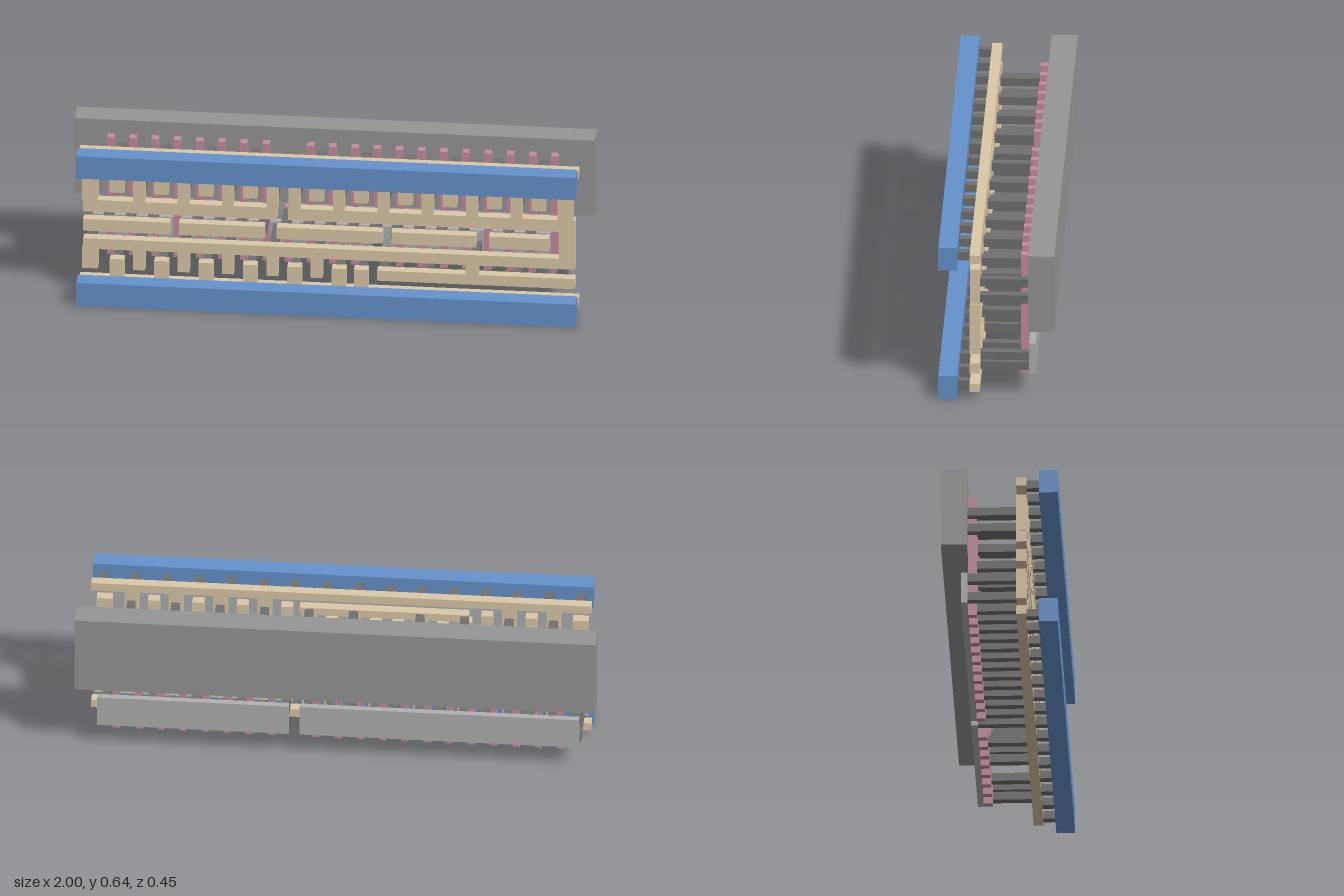
import * as THREE from 'three';

const mat = (color) => new THREE.MeshStandardMaterial({ color, flatShading: true });

export function createModel() {
  const root = new THREE.Group();
  const blue = mat(0x6592cc), tan = mat(0xdbc9a8), dark = mat(0x707070);
  const pink = mat(0xc58ca0), grey = mat(0x969696), lightGrey = mat(0xb0b0b0);

  // Box given by its extents along each axis
  function box(name, m, [x0, x1], [y0, y1], [z0, z1]) {
    const mesh = new THREE.Mesh(new THREE.BoxGeometry(x1 - x0, y1 - y0, z1 - z0), m);
    mesh.position.set((x0 + x1) / 2, (y0 + y1) / 2, (z0 + z1) / 2);
    mesh.name = name;
    root.add(mesh);
  }
  const around = (c, w) => [c - w / 2, c + w / 2];

  // Depth of each layer
  const POWER = [0.152, 0.224], METAL = [0.065, 0.104], GATE = [-0.122, -0.088];
  const PITCH = 0.0853, VIA = 0.033;
  const gateX = (i) => -0.858 + PITCH * i;
  const contactX = (i) => gateX(i) + PITCH / 2;

  const metal = (name, x, y) => box(name, tan, x, y, METAL);
  const pillar = (x, y, back = -0.122) =>
    box('contactPillar', dark, around(x, VIA), around(y, VIA), [back, METAL[0]]);

  // Power rails, the thin strips behind them and the pegs that join the two
  for (const [y, peg] of [[[0, 0.097], 0.049], [[0.543, 0.638], 0.591]]) {
    box('powerRail', blue, [-0.96, 0.96], y, POWER);
    metal('railStrip', [-0.96, 0.96], around(peg, 0.034));
    for (let i = 0; i < 16; i++)
      box('railPeg', dark, around(-0.915 + 0.122 * i, VIA), around(peg, VIA), [METAL[1], POWER[0]]);
  }

  // Back slabs
  box('upperBackSlab', grey, [-1, 1], [0.31, 0.628], [-0.222, -0.122]);
  for (const x of [[-0.93, 0.142], [0.184, 0.92]])
    box('lowerBackSlab', lightGrey, x, [0.097, 0.224], [-0.147, -0.122]);

  // Gate fingers; slots 8 and 12 have only a lower or an upper half
  for (let i = 0; i <= 20; i++)
    box('gateFinger', pink, around(gateX(i), 0.028),
      [i === 12 ? 0.26 : 0.071, i === 8 ? 0.305 : 0.57], GATE);

  // Pads joining each group of gates, with a front bar and its pillars
  const groups = [
    [0, 3, [-0.945, -0.612]], [4, 7, [-0.577, -0.248]], [8, 12, [-0.202, 0.205]],
    [13, 16, [0.24, 0.565]], [17, 20, [0.615, 0.845]],
  ];
  for (const [a, b, bar] of groups) {
    box('gatePad', pink, [gateX(a) - 0.014, gateX(b) + 0.014], [0.26, 0.305], GATE);
    metal('inputBar', bar, [0.262, 0.312]);
    for (let i = a; i <= b; i++)
      if (gateX(i) > bar[0] && gateX(i) < bar[1]) pillar(gateX(i), 0.281, GATE[1]);
  }

  // Upper comb bars and the cross bar between them
  metal('upperCombBar', [-0.945, -0.2], [0.345, 0.395]);
  metal('upperCombBar', [-0.157, 0.945], [0.345, 0.395]);
  metal('upperCrossBar', [-0.49, 0.16], [0.508, 0.54]);

  // Upper fingers: some rise from the combs, some hang from the rail or cross bar
  const combs = [-1, 1, 3, 5, 7, 8, 10, 12, 14, 16, 18, 20];
  for (let i = -1; i <= 20; i++) {
    const x = contactX(i) + (i === -1 ? -0.018 : i === 20 ? 0.018 : 0);
    const w = i === -1 || i === 20 ? 0.06 : 0.045;
    const crossed = i >= 4 && i <= 11;
    if (combs.includes(i)) {
      metal('upperCombFinger', around(x, w), [0.39, crossed ? 0.495 : 0.54]);
      pillar(x, 0.411);
      pillar(x, 0.478);
    } else {
      metal('hangingFinger', around(x, 0.055), [0.43, crossed ? 0.51 : 0.578]);
      pillar(x, 0.451);
      pillar(x, 0.519);
    }
  }

  // Output link: long bar and the upright at the left end
  metal('outputBar', [-0.945, 0.945], [0.186, 0.23]);
  metal('outputUpright', [0.885, 0.945], [0.2, 0.395]);

  // Lower fingers: stubs rising from the rail alternate with fingers hanging from the bar
  for (let i = -1; i <= 11; i++) {
    const x = contactX(i) + (i === -1 ? -0.018 : 0);
    if (i % 2 === 0 || i === 11) {
      metal('lowerStub', around(x, 0.055), [0.06, 0.146]);
      pillar(x, 0.121);
    } else {
      metal('lowerFinger', around(x, i === -1 ? 0.06 : 0.045), [0.103, 0.19]);
      pillar(x, 0.121);
      pillar(x, 0.2);
    }
  }

  // Separate lower bar with its link up to the output bar
  metal('lowerBar', [0.185, 0.945], [0.103, 0.146]);
  metal('lowerLink', around(contactX(16), 0.05), [0.14, 0.19]);
  for (const i of [12, 14, 16, 18, 20]) pillar(contactX(i), 0.121);
  for (const i of [16, 20]) pillar(contactX(i), 0.162);
  return root;
}
